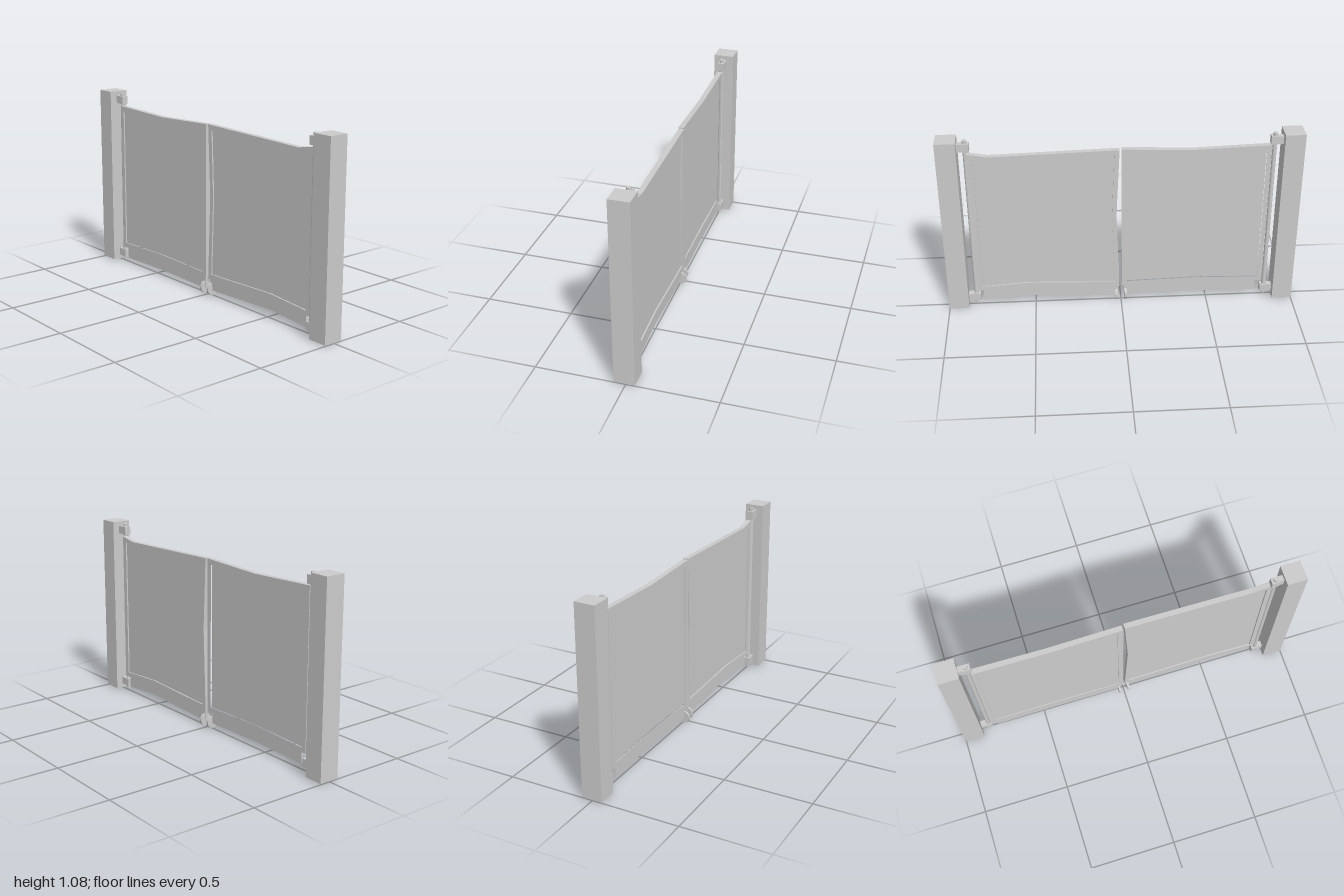
import * as THREE from 'three';

const material = new THREE.MeshStandardMaterial({ color: 0xcccccc, flatShading: true });
const smooth = new THREE.MeshStandardMaterial({ color: 0xcccccc });

// Adds a named mesh to a group
function add(group, name, geometry, x = 0, y = 0, z = 0, mat = material) {
  const mesh = new THREE.Mesh(geometry, mat);
  mesh.name = name;
  mesh.position.set(x, y, z);
  group.add(mesh);
}

// Box given by its limits on each axis
function addBox(group, name, [x0, x1], [y0, y1], [z0, z1]) {
  const box = new THREE.BoxGeometry(x1 - x0, y1 - y0, Math.abs(z1 - z0));
  add(group, name, box, (x0 + x1) / 2, (y0 + y1) / 2, (z0 + z1) / 2);
}

// Flat plate in the z-y plane, centred on x = 0
function plate(outline, thickness, hole) {
  const toVectors = (list) => list.map(([z, y]) => new THREE.Vector2(z, y));
  const shape = new THREE.Shape(toVectors(outline));
  if (hole) shape.holes.push(new THREE.Path(toVectors(hole)));
  return new THREE.ExtrudeGeometry(shape, { depth: thickness, bevelEnabled: false })
    .translate(0, 0, -thickness / 2)
    .rotateY(-Math.PI / 2);
}

// Outlines are [z, y] points of each gate leaf
const leaves = [
  {
    name: 'frontLeaf', side: 1, x: 0.001, rodX: -0.01, postX: [-0.065, 0.05], wheelZ: 0.027,
    frame: [[0.834, 0.098], [0.834, 0.992], [0.725, 0.972], [0.008, 0.992], [0.026, 0.585], [0.008, 0.098], [0.53, 0.114]],
    opening: [[0.804, 0.126], [0.804, 0.96], [0.71, 0.94], [0.037, 0.96], [0.051, 0.575], [0.035, 0.126], [0.53, 0.144]],
    skirt: [[0.8, 0.11], [0.8, 0.029], [0.54, 0.049], [0.03, 0.029], [0.03, 0.11], [0.53, 0.125]],
  },
  {
    name: 'backLeaf', side: -1, x: -0.005, rodX: 0.003, postX: [-0.055, 0.062], wheelZ: -0.027,
    frame: [[-0.828, 0.098], [-0.828, 0.992], [-0.41, 0.977], [-0.003, 0.992], [-0.003, 0.098], [-0.41, 0.106]],
    opening: [[-0.802, 0.126], [-0.802, 0.96], [-0.41, 0.949], [-0.032, 0.96], [-0.032, 0.126], [-0.41, 0.136]],
    skirt: [[-0.79, 0.11], [-0.79, 0.029], [-0.42, 0.037], [-0.025, 0.029], [-0.025, 0.11], [-0.41, 0.115]],
  },
];

function buildLeaf(leaf) {
  const group = new THREE.Group();
  group.name = leaf.name;

  // Framed panel with a thin skirt hanging below
  add(group, 'frame', plate(leaf.frame, 0.03, leaf.opening), leaf.x);
  add(group, 'panel', plate(leaf.opening, 0.014), leaf.x);
  add(group, 'skirt', plate(leaf.skirt, 0.012), leaf.x);

  // Small support wheel and its stem
  const wheel = new THREE.CylinderGeometry(0.037, 0.037, 0.012, 24).rotateX(Math.PI / 2);
  add(group, 'wheel', wheel, leaf.x, 0.037, leaf.wheelZ);
  addBox(group, 'wheelStem', [leaf.x - 0.008, leaf.x + 0.008], [0.03, 0.1],
    [leaf.wheelZ - 0.009, leaf.wheelZ + 0.009]);
  return group;
}

function buildPost(leaf) {
  const group = new THREE.Group();
  const { side, rodX } = leaf;
  group.name = side > 0 ? 'frontPostAssembly' : 'backPostAssembly';
  addBox(group, 'post', leaf.postX, [0.004, 1.075], [0.887 * side, side]);

  // Hinge rod running through both brackets
  const rod = new THREE.CylinderGeometry(0.0125, 0.0125, 1.057, 16);
  add(group, 'hingeRod', rod, rodX, 0.5385, 0.843 * side, smooth);

  // Upper and lower brackets
  for (const [y0, y1] of [[1.002, 1.05], [0.028, 0.075]]) {
    addBox(group, 'hingeKnuckle', [rodX - 0.018, rodX + 0.019], [y0, y1], [0.819 * side, 0.862 * side]);
    addBox(group, 'hingeArm', [rodX - 0.014, rodX + 0.019], [y0 + 0.001, y1 - 0.001], [0.86 * side, 0.89 * side]);
  }
  return group;
}

export function createModel() {
  const gate = new THREE.Group();
  gate.name = 'doubleGate';
  for (const leaf of leaves) gate.add(buildLeaf(leaf), buildPost(leaf));
  return gate;
}
